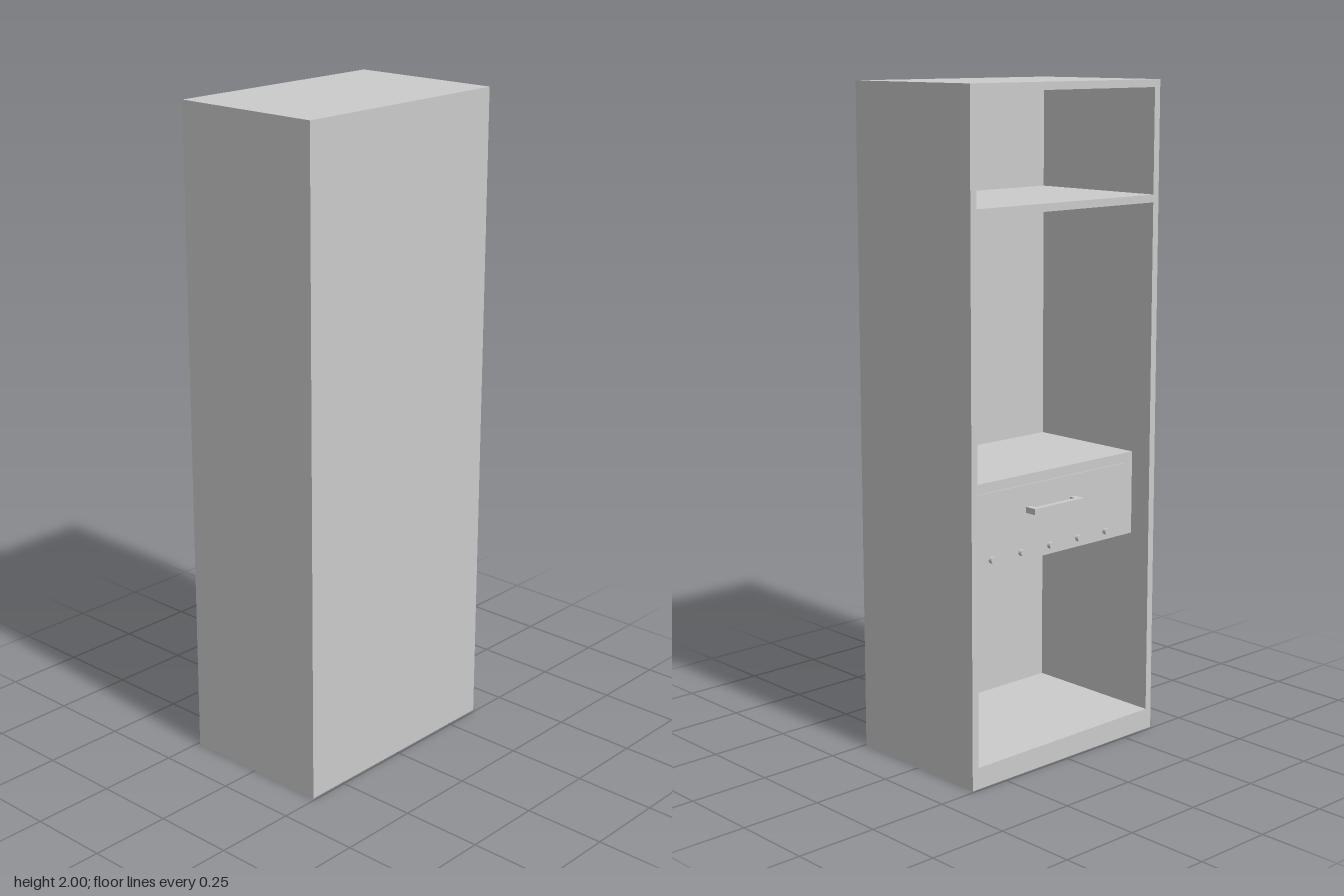
import * as THREE from 'three';

// Tall open cabinet: the opening faces -x, with a built-in drawer and control unit.
const W = 0.484, H = 2, D = 0.75; // x, y, z
const T = 0.0225;                 // board thickness
const X0 = -W / 2, X1 = W / 2;
const BACK = X1 - 0.02;           // inner face of the back panel
const ZI = D / 2 - T;             // inner face of the side panels
const FRONT = -0.17;              // front face of the recessed unit

export function createModel() {
  const model = new THREE.Group();
  model.name = 'cabinet';
  const material = new THREE.MeshStandardMaterial({ color: 0xcccccc });

  const add = (name, geometry, parent) => {
    const mesh = new THREE.Mesh(geometry, material);
    mesh.name = name;
    parent.add(mesh);
    return mesh;
  };
  // Box given by its lower and upper corners
  const box = (name, a, b, parent = model) => {
    const size = b.map((v, i) => v - a[i]);
    const mesh = add(name, new THREE.BoxGeometry(...size), parent);
    mesh.position.set(...b.map((v, i) => (v + a[i]) / 2));
    return mesh;
  };

  // Carcass
  box('topPanel', [X0, H - T, -D / 2], [X1, H, D / 2]);
  box('basePlinth', [X0, 0, -D / 2], [X1, 0.065, D / 2]);
  box('backPanel', [BACK, 0.065, -D / 2], [X1, H - T, D / 2]);
  for (const [name, s] of [['leftSidePanel', 1], ['rightSidePanel', -1]]) {
    const z = [s * ZI, s * D / 2].sort((p, q) => p - q);
    box(name, [X0, 0.065, z[0]], [BACK, H - T, z[1]]);
  }
  box('upperShelf', [X0, 1.642, -ZI], [BACK, 1.665, ZI]);

  // Recessed unit between the compartments
  const unit = new THREE.Group();
  unit.name = 'drawerUnit';
  model.add(unit);
  box('unitBody', [FRONT, 0.62, -ZI], [BACK, 0.877, ZI], unit);
  box('drawerFront', [FRONT - 0.004, 0.675, -ZI + 0.04], [FRONT, 0.847, ZI - 0.04], unit);

  // Bar handle on two posts
  const handle = new THREE.Group();
  handle.name = 'drawerHandle';
  unit.add(handle);
  box('handleBar', [FRONT - 0.042, 0.763, -0.1], [FRONT - 0.024, 0.781, 0.1], handle);
  for (const z of [-0.09, 0.09]) {
    box('handlePost', [FRONT - 0.024, 0.763, z - 0.01], [FRONT - 0.004, 0.781, z + 0.01], handle);
  }

  // Row of five small knobs under the drawer
  for (let i = -2; i <= 2; i++) {
    const knob = add('knob', new THREE.CylinderGeometry(0.01, 0.01, 0.012, 16), unit);
    knob.rotation.z = Math.PI / 2;
    knob.position.set(FRONT - 0.006, 0.647, i * 0.1175);
  }

  return model;
}
